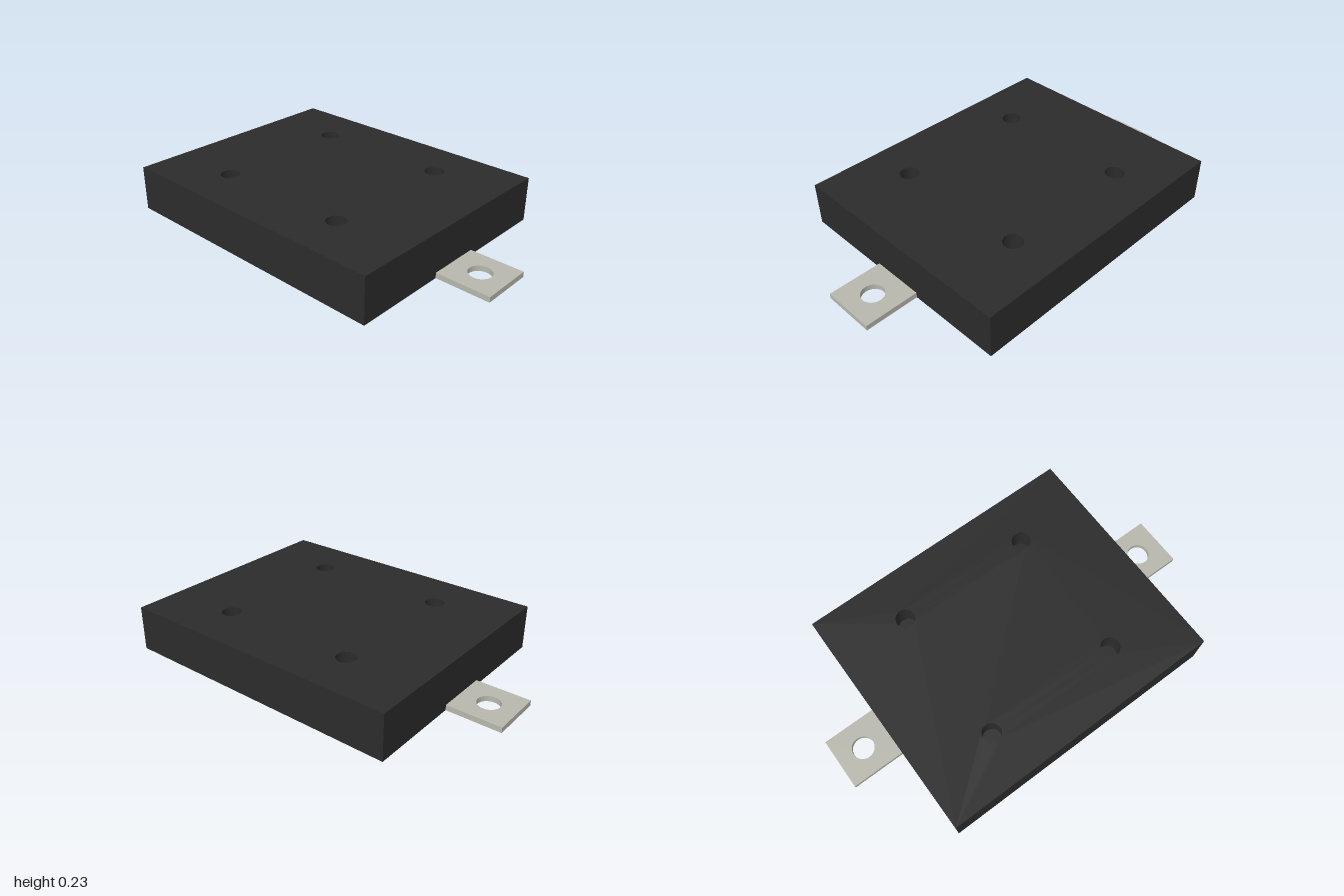
import * as THREE from 'three';

const W = 1.46, D = 1.2, H = 0.226;            // body
const TAB_T = 0.027, TAB_W = 0.265;            // terminal tabs
const POCKET_R = 0.048, POCKET_DEPTH = 0.12;

const bodyMat = new THREE.MeshStandardMaterial({ color: 0x2b2b2b });
const tabMat = new THREE.MeshStandardMaterial({ color: 0xb7b7ac });

function rectShape(x0, x1, y0, y1) {
  return new THREE.Shape([
    new THREE.Vector2(x0, y0), new THREE.Vector2(x1, y0),
    new THREE.Vector2(x1, y1), new THREE.Vector2(x0, y1),
  ]);
}

function addHole(shape, x, y, r) {
  shape.holes.push(new THREE.Path().absarc(x, y, r, 0, Math.PI * 2, true));
}

function part(name, geometry, material) {
  const mesh = new THREE.Mesh(geometry, material);
  mesh.name = name;
  return mesh;
}

export function createModel() {
  const model = new THREE.Group();
  model.name = 'twoTerminalBlock';

  const body = new THREE.Group();
  body.name = 'body';
  model.add(body);

  // Sides and underside: a box without its top face
  const shell = new THREE.BoxGeometry(W, H, D).translate(0, H / 2, 0);
  const index = Array.from(shell.index.array);
  index.splice(12, 6);
  shell.setIndex(index);
  shell.clearGroups();
  body.add(part('bodyShell', shell, bodyMat));

  // Top face with four blind round pockets
  const top = rectShape(-W / 2, W / 2, -D / 2, D / 2);
  const floor = H - POCKET_DEPTH;
  const profile = [[POCKET_R, H], [POCKET_R, floor], [POCKET_R, floor], [0, floor]]
    .map(([x, y]) => new THREE.Vector2(x, y));
  for (const x of [-0.352, 0.352]) {
    for (const z of [-0.353, 0.353]) {
      addHole(top, x, z, POCKET_R);
      const pocket = part('pocket', new THREE.LatheGeometry(profile, 48), bodyMat);
      pocket.position.set(x, 0, z);
      body.add(pocket);
    }
  }
  const topFace = new THREE.ShapeGeometry(top, 24).rotateX(-Math.PI / 2).translate(0, H, 0);
  body.add(part('bodyTop', topFace, bodyMat));

  // Flat metal tabs with a bolt hole, one at each end
  for (const side of [1, -1]) {
    const outline = rectShape(W / 2, 1, -TAB_W / 2, TAB_W / 2);
    addHole(outline, 0.867, 0, 0.055);
    const geometry = new THREE.ExtrudeGeometry(outline, {
      depth: TAB_T, bevelEnabled: false, curveSegments: 24,
    }).rotateX(-Math.PI / 2);
    const tab = part(side > 0 ? 'leftTerminalTab' : 'rightTerminalTab', geometry, tabMat);
    if (side < 0) tab.rotation.y = Math.PI;
    model.add(tab);
  }

  return model;
}
